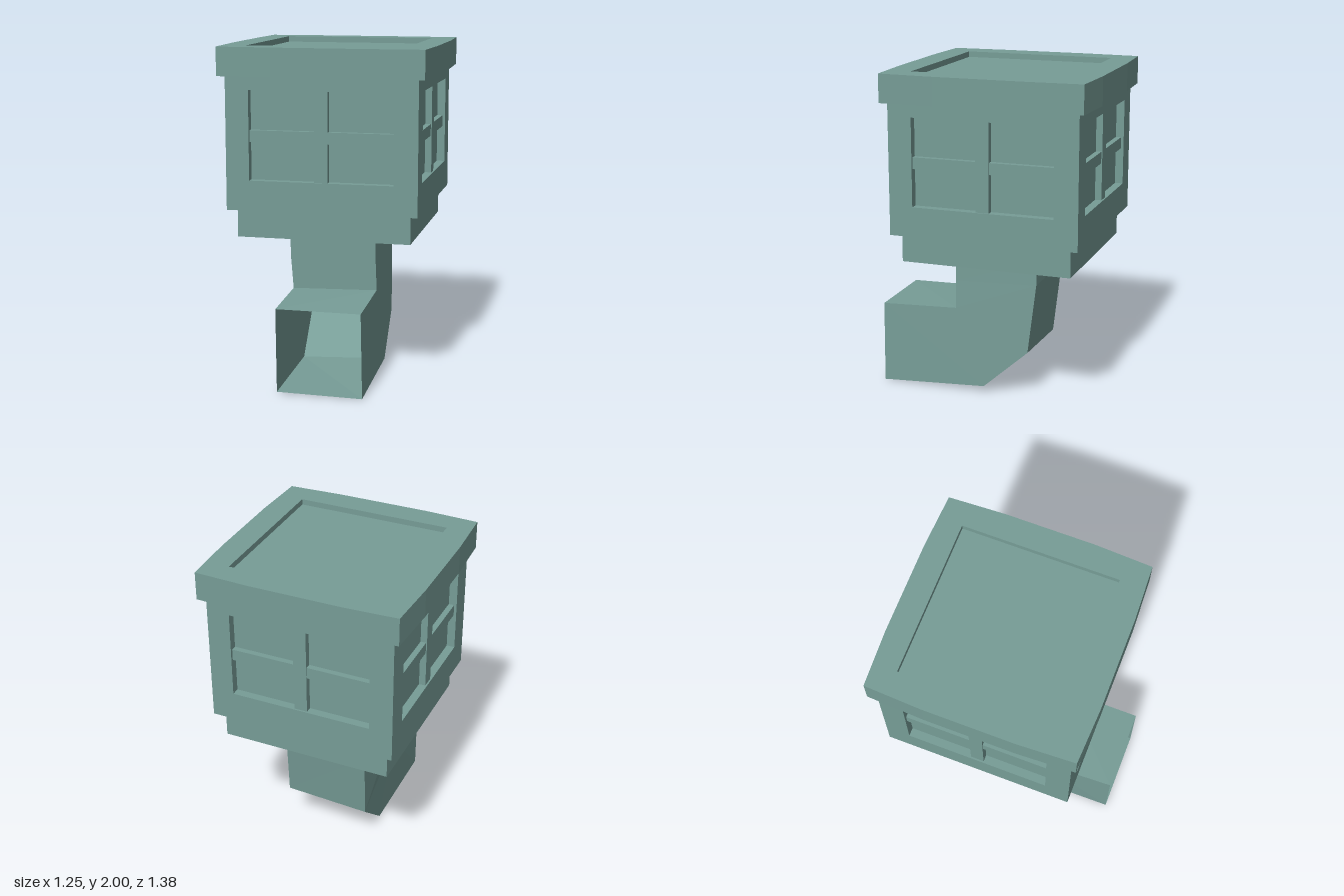
import * as THREE from 'three';

const material = new THREE.MeshStandardMaterial({ color: 0x779d97, flatShading: true });
const pipeMaterial = new THREE.MeshStandardMaterial({ color: 0x779d97, flatShading: true, side: THREE.DoubleSide });

function add(parent, name, geometry, x = 0, y = 0, z = 0) {
  const mesh = new THREE.Mesh(geometry, material);
  mesh.name = name;
  mesh.position.set(x, y, z);
  parent.add(mesh);
  return mesh;
}

const box = (w, h, d) => new THREE.BoxGeometry(w, h, d);

function rectPath(Type, x0, y0, x1, y1) {
  const path = new Type();
  path.moveTo(x0, y0).lineTo(x1, y0).lineTo(x1, y1).lineTo(x0, y1).closePath();
  return path;
}

const extrude = (shape, depth) => new THREE.ExtrudeGeometry(shape, { depth, bevelEnabled: false });

// One wall: a frame with a sunken window and crossed bars; local z = 0 is the outer face
function windowWall(name, halfWidth) {
  const wall = new THREE.Group();
  wall.name = name;
  const depth = 0.05;
  const frame = rectPath(THREE.Shape, -halfWidth, 1.04, halfWidth, 1.83);
  frame.holes.push(rectPath(THREE.Path, -0.43, 1.22, 0.43, 1.75));
  add(wall, 'windowFrame', extrude(frame, depth), 0, 0, -depth);
  add(wall, 'verticalBar', box(0.08, 0.53, 0.04), 0, 1.485, -0.03);
  add(wall, 'horizontalBar', box(0.86, 0.07, 0.034), 0, 1.48, -0.033);
  return wall;
}

// Slightly bowed square outline of the cap
function capOutline() {
  const corner = [[0.625, -0.27], [0.625, 0.27], [0.61, 0.61], [0.28, 0.625]];
  const points = [...corner, ...corner.map(([x, y]) => [-x, y]).reverse().slice(0, 3),
    [-0.625, -0.27], [-0.61, -0.61], [-0.28, -0.625], [0.28, -0.625], [0.61, -0.61]];
  return new THREE.Shape(points.map(([x, y]) => new THREE.Vector2(x, y)));
}

// Bent square pipe, each ring: outer left, outer right, inner right, inner left
function pipeGeometry() {
  const rings = [
    [[-0.265, 0.87, -0.3], [0.265, 0.87, -0.3], [0.265, 0.87, 0.215], [-0.265, 0.87, 0.215]],
    [[-0.26, 0.72, -0.3], [0.268, 0.72, -0.3], [0.268, 0.7, 0.215], [-0.26, 0.7, 0.215]],
    [[-0.245, 0.265, -0.25], [0.28, 0.29, -0.25], [0.275, 0.525, 0.215], [-0.245, 0.51, 0.215]],
    [[-0.23, 0.015, 0.03], [0.29, 0.04, 0.03], [0.275, 0.525, 0.215], [-0.245, 0.51, 0.215]],
    [[-0.22, 0.005, 0.695], [0.29, 0, 0.695], [0.28, 0.505, 0.695], [-0.225, 0.505, 0.695]],
  ];
  const positions = [];
  for (let r = 0; r < rings.length - 1; r++) {
    for (let i = 0; i < 4; i++) {
      const j = (i + 1) % 4;
      const a = rings[r][i], b = rings[r][j], c = rings[r + 1][j], d = rings[r + 1][i];
      positions.push(...a, ...b, ...c, ...a, ...c, ...d);
    }
  }
  const geometry = new THREE.BufferGeometry();
  geometry.setAttribute('position', new THREE.Float32BufferAttribute(positions, 3));
  geometry.computeVertexNormals();
  return geometry;
}

export function createModel() {
  const model = new THREE.Group();
  model.name = 'windowedPeriscope';

  // Housing sits slightly behind the centre
  const head = new THREE.Group();
  head.name = 'head';
  head.position.z = -0.065;
  model.add(head);
  add(head, 'base', box(1.04, 0.17, 1.04), 0, 0.955, 0);
  add(head, 'core', box(1.04, 0.79, 1.05), 0, 1.435, 0);

  // Walls: front and back span the corners, the sides fit between them
  const names = ['frontWall', 'leftWall', 'backWall', 'rightWall'];
  names.forEach((name, i) => {
    const side = i % 2 === 1;
    const wall = windowWall(name, side ? 0.525 : 0.57);
    const angle = i * Math.PI / 2;
    const reach = side ? 0.57 : 0.575;
    wall.rotation.y = angle;
    wall.position.set(Math.sin(angle) * reach, 0, Math.cos(angle) * reach);
    head.add(wall);
  });

  // Cap with a shallow sunken panel
  add(head, 'capSlab', extrude(capOutline(), 0.135), 0, 1.83, 0).rotation.x = -Math.PI / 2;
  const rim = capOutline();
  rim.holes.push(rectPath(THREE.Path, -0.47, -0.467, 0.47, 0.473));
  add(head, 'capRim', extrude(rim, 0.035), 0, 1.965, 0).rotation.x = -Math.PI / 2;

  // Hollow pipe opening to the front
  add(model, 'pipe', pipeGeometry()).material = pipeMaterial;

  return model;
}
